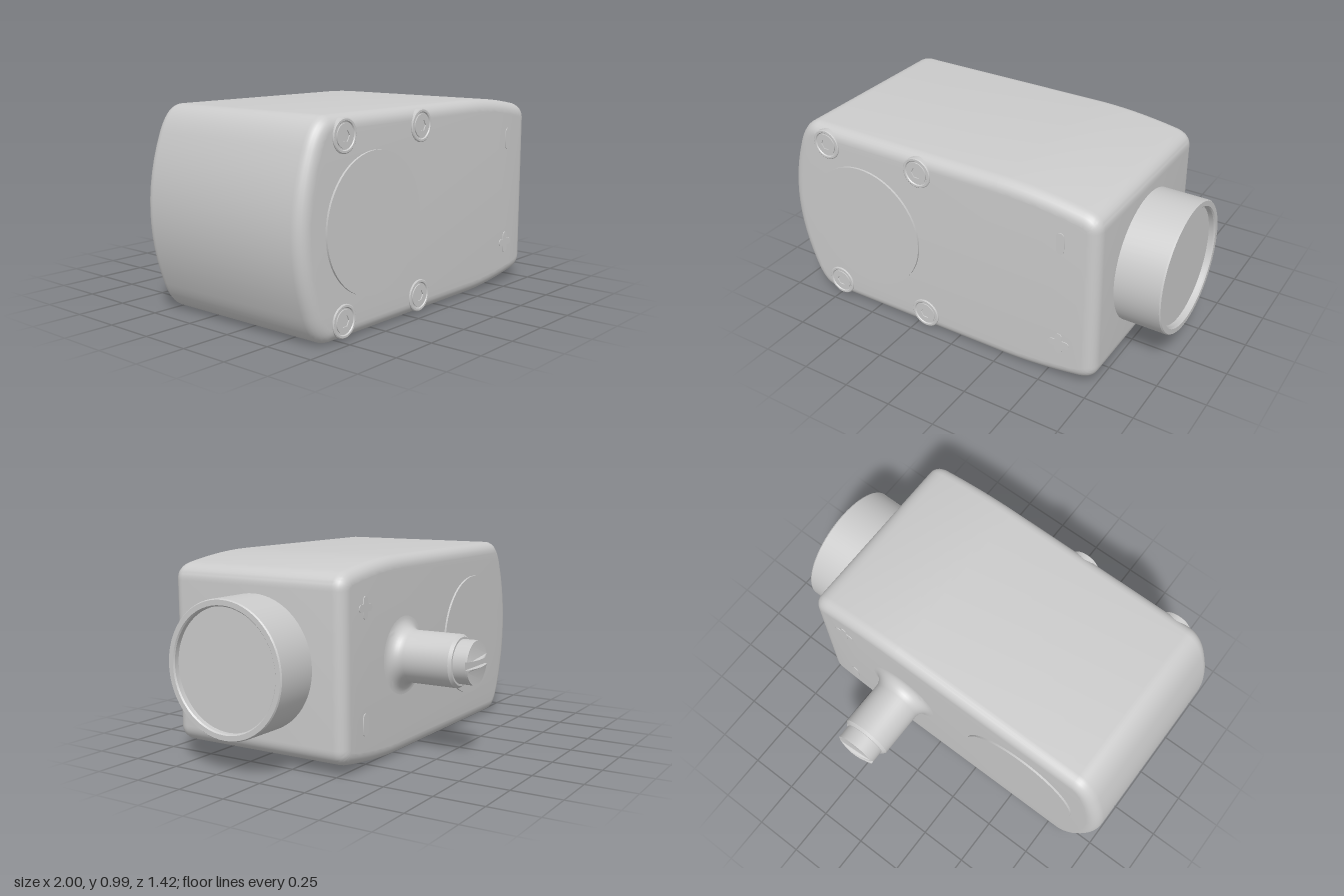
import * as THREE from 'three';
import { toCreasedNormals } from 'three/addons/utils/BufferGeometryUtils.js';

const CY = 0.493; // mid height
const material = new THREE.MeshStandardMaterial({ color: 0xcccccc });

function part(name, geometry, crease = 0.6) {
  const mesh = new THREE.Mesh(toCreasedNormals(geometry, crease), material);
  mesh.name = name;
  return mesh;
}

// Turned part: profile is [radius, height] from the base to the tip
function turned(profile, segments = 48) {
  return new THREE.LatheGeometry(profile.map(([r, h]) => new THREE.Vector2(r, h)), segments);
}

function extrude(shape, depth, curveSegments = 12) {
  return new THREE.ExtrudeGeometry(shape, { depth, bevelEnabled: false, curveSegments });
}

// Housing: bowed left end, tapering right end, rounded front and back edges
function housing() {
  const h = CY, s = new THREE.Shape();
  s.moveTo(-0.8, -h);
  s.lineTo(0.25, -h);
  s.quadraticCurveTo(0.45, -h, 0.68, -0.452);
  s.quadraticCurveTo(0.765, -0.437, 0.765, -0.365);
  s.lineTo(0.765, 0.365);
  s.quadraticCurveTo(0.765, 0.437, 0.68, 0.452);
  s.quadraticCurveTo(0.45, h, 0.25, h);
  s.lineTo(-0.8, h);
  s.quadraticCurveTo(-0.88, h, -0.93, 0.362);
  s.quadraticCurveTo(-1.07, 0, -0.93, -0.362);
  s.quadraticCurveTo(-0.88, -h, -0.8, -h);
  const b = 0.06;
  const g = new THREE.ExtrudeGeometry(s, {
    depth: 1 - 2 * b, bevelThickness: b, bevelSize: b, bevelOffset: -b, bevelSegments: 6, curveSegments: 12,
  });
  return part('housing', g.translate(0, CY, -0.3 + b));
}

// Countersunk screw: rim, groove and head with a hexagonal socket
function screw(x, y) {
  const group = new THREE.Group();
  group.name = 'screw';
  const seat = turned([[0.077, -0.08], [0.077, 0.004], [0.073, 0.007], [0.064, 0.007], [0.06, 0.002], [0, 0.002]], 32);
  group.add(part('screwSeat', seat.rotateX(Math.PI / 2)));
  const head = new THREE.Shape().absarc(0, 0, 0.054, 0, Math.PI * 2);
  const hex = new THREE.Path();
  for (let i = 0; i <= 6; i++) {
    const a = -i * Math.PI / 3;
    hex[i ? 'lineTo' : 'moveTo'](0.028 * Math.cos(a), 0.028 * Math.sin(a));
  }
  head.holes.push(hex);
  group.add(part('screwHead', extrude(head, 0.006, 16).translate(0, 0, 0.001)));
  group.position.set(x, y, 0.7);
  return group;
}

// One half of the slotted domed tip of the rear bolt
function tipHalf(side) {
  const R = 0.108, half = 0.019, a0 = Math.asin(half / R);
  const s = new THREE.Shape();
  for (let i = 0; i <= 24; i++) {
    const a = a0 + (Math.PI - 2 * a0) * i / 24;
    s[i ? 'lineTo' : 'moveTo'](R * Math.cos(a), R * Math.sin(a));
  }
  const w = R * Math.cos(a0);
  for (let i = 1; i < 16; i++) s.lineTo(-w + 2 * w * i / 16, half);
  const g = extrude(s, 0.01);
  const p = g.attributes.position;
  for (let i = 0; i < p.count; i++) {
    if (p.getZ(i) > 0.005) {
      const r2 = (p.getX(i) ** 2 + p.getY(i) ** 2) / (R * R);
      p.setZ(i, 0.01 + 0.02 * (1 - r2));
    }
  }
  if (side < 0) g.rotateZ(Math.PI);
  return part('boltTipHalf', g.rotateY(Math.PI).translate(0, 0, -0.385));
}

// Rear bolt with a flared base and a slotted tip
function rearBolt() {
  const group = new THREE.Group();
  group.name = 'rearBolt';
  const profile = [];
  for (let i = 0; i <= 8; i++) {
    const a = i / 8 * Math.PI / 2;
    profile.push([0.195 - 0.065 * Math.sin(a), 0.065 * (1 - Math.cos(a))]);
  }
  profile.push([0.13, 0.305], [0.118, 0.32], [0.108, 0.32], [0.108, 0.385], [0, 0.385]);
  group.add(part('boltShaft', turned(profile).rotateX(-Math.PI / 2)));
  group.add(tipHalf(1), tipHalf(-1));
  group.position.set(0.22, CY, -0.3);
  return group;
}

// Slim raised bar with round ends
function pill(length, width) {
  const r = width / 2, l = length / 2 - r;
  const s = new THREE.Shape();
  s.absarc(0, l, r, 0, Math.PI);
  s.absarc(0, -l, r, Math.PI, Math.PI * 2);
  return extrude(s, 0.008, 8).translate(0, 0, -0.004);
}

// Raised polarity marks, shared by the front and back faces
function polarityMarks() {
  const group = new THREE.Group();
  group.name = 'polarityMarks';
  group.add(part('minusMark', pill(0.11, 0.04).translate(0, 0.275, 0)));
  group.add(part('plusMarkUpright', pill(0.11, 0.036).translate(0, -0.275, 0)));
  group.add(part('plusMarkCross', pill(0.11, 0.036).rotateZ(Math.PI / 2).translate(0, -0.275, 0)));
  return group;
}

export function createModel() {
  const model = new THREE.Group();
  model.name = 'deviceHousing';
  model.add(housing());

  // Recessed round port on the left side
  const port = turned([[0.33, 0.7], [0.33, 0.99], [0.325, 0.997], [0.3, 0.997], [0.294, 0.99], [0.294, 0.965], [0, 0.965]], 64);
  model.add(part('sidePort', port.rotateZ(-Math.PI / 2).translate(0, CY, 0.2), 0.4));

  // Thin round plates on the front and back
  for (const side of [1, -1]) {
    const plate = turned([[0.325, -0.02], [0.325, 0.01], [0, 0.01]], 64);
    plate.rotateX(side * Math.PI / 2).translate(-0.525, CY, side > 0 ? 0.7 : -0.3);
    model.add(part(side > 0 ? 'frontPlate' : 'backPlate', plate));
  }

  for (const x of [-0.73, -0.185]) {
    for (const side of [1, -1]) model.add(screw(x, CY + side * 0.403));
  }

  model.add(rearBolt());

  const frontMarks = polarityMarks();
  frontMarks.position.set(0.58, CY, 0.7);
  const backMarks = polarityMarks();
  backMarks.rotation.x = Math.PI;
  backMarks.position.set(0.58, CY, -0.3);
  model.add(frontMarks, backMarks);
  return model;
}
